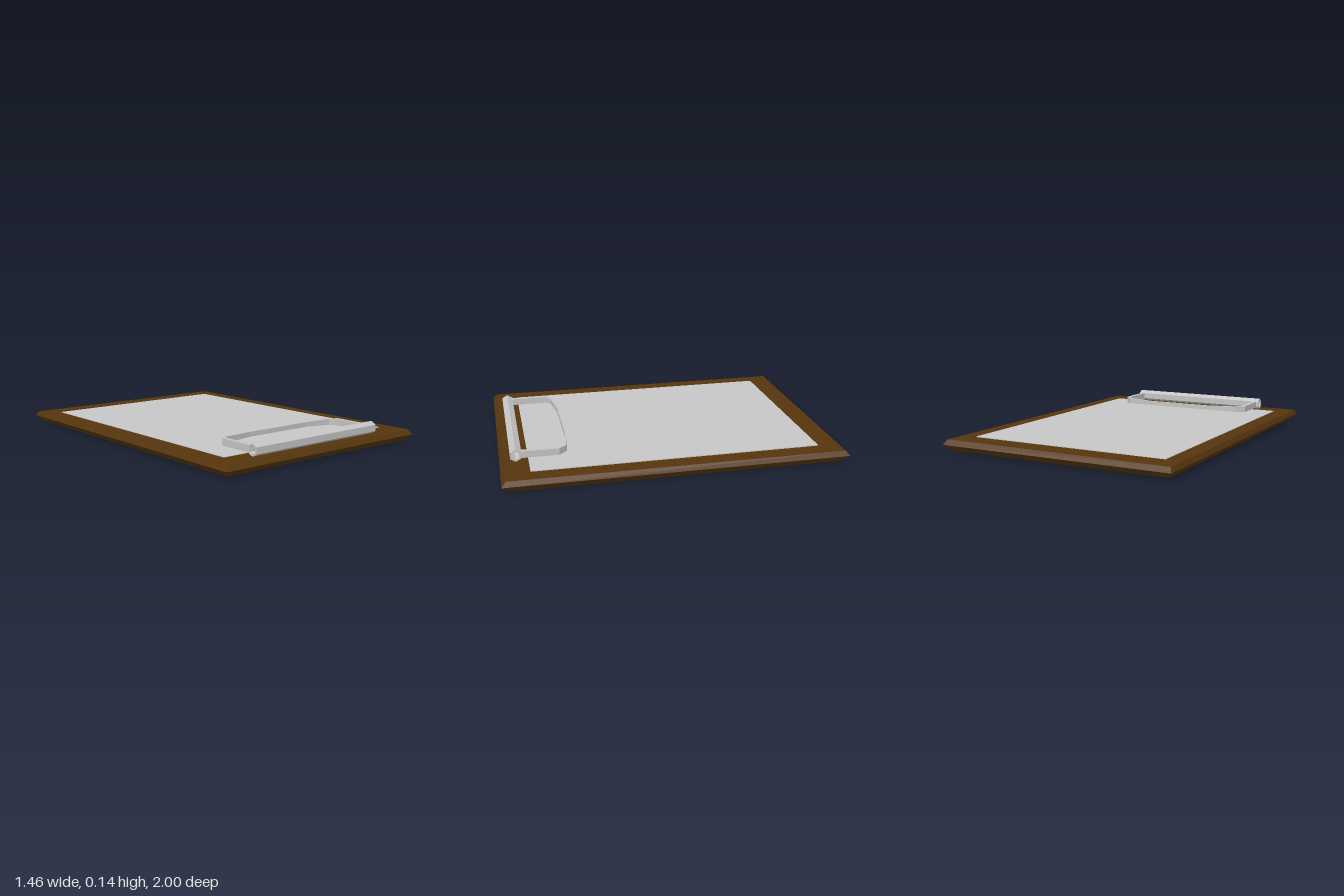
import * as THREE from 'three';

const paint = (name, color) => {
  const m = new THREE.MeshStandardMaterial({ color });
  m.name = name;
  return m;
};

// Flat-faced solid through rings of points, capped at both ends
// (each ring runs counter-clockwise about the direction of travel)
function loft(rings) {
  const n = rings[0].length;
  const index = [];
  for (let r = 0; r < rings.length - 1; r++) {
    for (let i = 0; i < n; i++) {
      const j = (i + 1) % n;
      const a = r * n + i, b = r * n + j, c = b + n, d = a + n;
      index.push(a, b, c, a, c, d);
    }
  }
  const last = (rings.length - 1) * n;
  for (let i = 1; i < n - 1; i++) {
    index.push(0, i + 1, i, last, last + i, last + i + 1);
  }
  const geo = new THREE.BufferGeometry();
  geo.setAttribute('position', new THREE.Float32BufferAttribute(rings.flat(2), 3));
  geo.setIndex(index);
  const flat = geo.toNonIndexed();
  flat.computeVertexNormals();
  return flat;
}

// Regular hexagon with a corner pointing up
const hexagon = (radius) => Array.from({ length: 6 }, (_, i) => {
  const a = Math.PI / 2 + i * Math.PI / 3;
  return new THREE.Vector2(Math.cos(a) * radius, Math.sin(a) * radius);
});

export function createModel() {
  const wood = paint('dark wood', 0x55350d);
  const white = paint('paper', 0xc6c6c6);
  const steel = paint('clip metal', 0xc4c4c4);

  const group = new THREE.Group();
  group.name = 'clipboard';
  const add = (name, geo, mat) => {
    const mesh = new THREE.Mesh(geo, mat);
    mesh.name = name;
    group.add(mesh);
    return mesh;
  };

  // Board with bevelled rim, very slightly skewed
  const boardRing = (x, z, yLeft, yRight) => [
    [-x - 0.004, yLeft, z - 0.004], [x - 0.004, yRight, z + 0.002],
    [x + 0.003, yRight, -z + 0.006], [-x + 0.004, yLeft, -z],
  ];
  add('board', loft([
    boardRing(0.70, 0.96, 0.008, 0),
    boardRing(0.728, 0.997, 0.042, 0.038),
    boardRing(0.712, 0.973, 0.069, 0.067),
  ]), wood);

  // Sheet of paper
  const sheet = add('paper', new THREE.BoxGeometry(1.226, 0.005, 1.676), white);
  sheet.position.set(-0.002, 0.0695, -0.002);

  // Hollow hexagonal hinge bar
  const section = new THREE.Shape(hexagon(0.037));
  section.holes.push(new THREE.Path(hexagon(0.025)));
  const barGeo = new THREE.ExtrudeGeometry(section, { depth: 0.94, bevelEnabled: false });
  barGeo.rotateY(Math.PI / 2);
  const bar = add('hingeBar', barGeo, steel);
  bar.position.set(-0.485, 0.102, 0.905);

  // Clip loop: a flat strip bent along x, z points with width and height
  const path = [
    [-0.46, 0.885, 0.026, 0.04], [-0.46, 0.655, 0.026, 0.04],
    [-0.415, 0.617, 0.02, 0.036], [-0.23, 0.596, 0.012, 0.028],
    [0.22, 0.596, 0.012, 0.028], [0.395, 0.622, 0.02, 0.036],
    [0.43, 0.66, 0.026, 0.04], [0.43, 0.885, 0.026, 0.04],
  ];
  const rings = path.map(([x, z, w, h], i) => {
    const p = path[Math.max(i - 1, 0)], q = path[Math.min(i + 1, path.length - 1)];
    const dir = new THREE.Vector2(q[0] - p[0], q[1] - p[1]).normalize();
    const sx = dir.y * w / 2, sz = -dir.x * w / 2;
    return [[-1, -1], [1, -1], [1, 1], [-1, 1]].map(
      ([s, u]) => [x + s * sx, 0.1 + u * h / 2, z + s * sz]);
  });
  add('clipLoop', loft(rings), steel);

  // Collars where the loop meets the bar
  for (const x of [-0.46, 0.43]) {
    const collar = add('clipCollar', new THREE.BoxGeometry(0.04, 0.036, 0.014), steel);
    collar.position.set(x, 0.1, 0.872);
  }

  return group;
}
